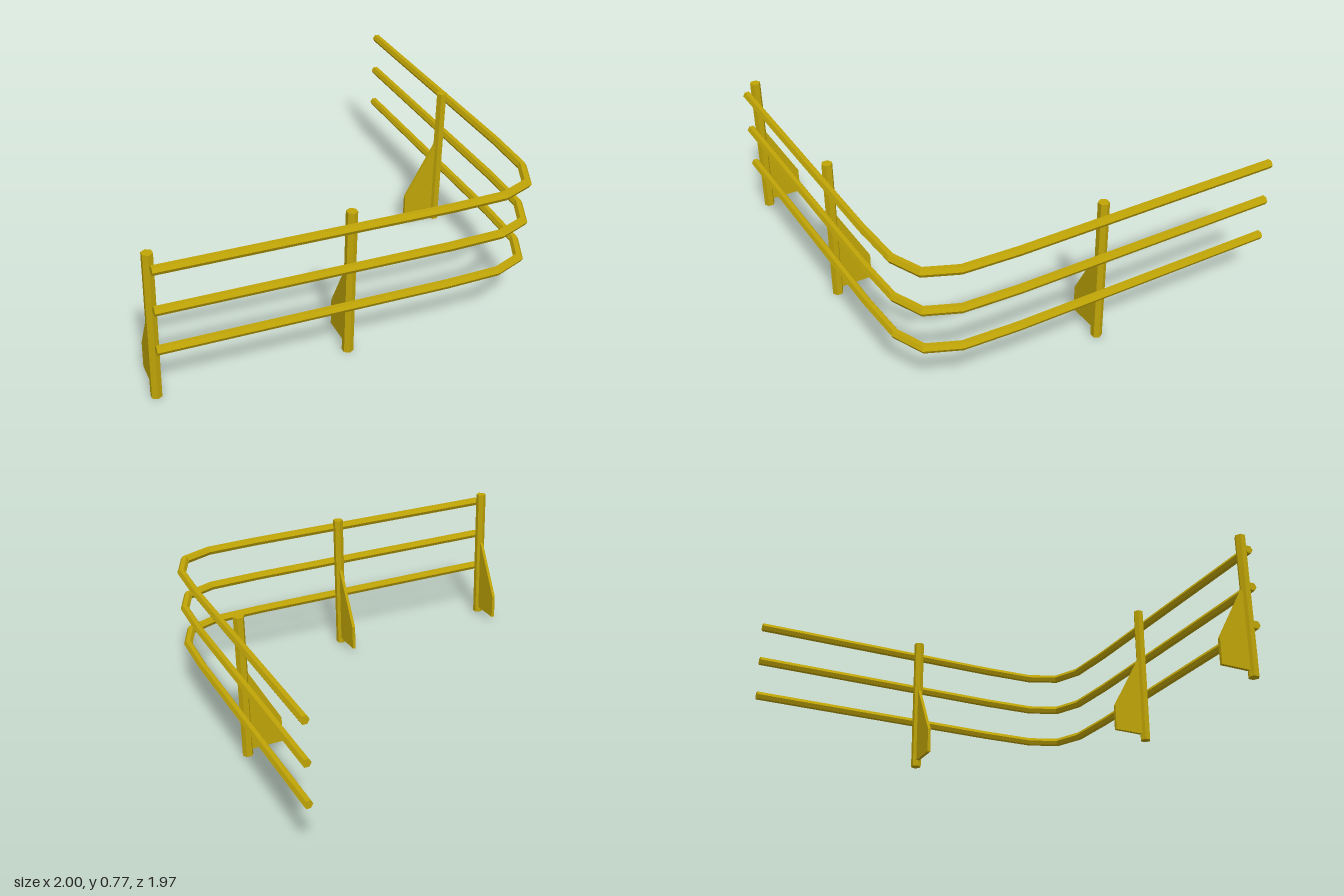
import * as THREE from 'three';

const paint = new THREE.MeshStandardMaterial({ color: 0xbfa406, flatShading: true });
paint.name = 'yellow paint';

// Hexagonal bar swept along a level path of [x, z] points, with mitred joints
function sweepRail(path, r) {
  const pos = [], idx = [], n = path.length;
  const pts = path.map(([x, z]) => new THREE.Vector2(x, z));
  const dirs = pts.slice(1).map((p, i) => p.clone().sub(pts[i]).normalize());
  pts.forEach((p, i) => {
    const d1 = dirs[Math.max(i - 1, 0)], d2 = dirs[Math.min(i, n - 2)];
    const t = d1.clone().add(d2).normalize();
    const stretch = 1 / t.dot(d1);
    for (let k = 0; k < 6; k++) {
      const ang = k * Math.PI / 3;
      const side = Math.cos(ang) * r * stretch;
      pos.push(p.x - t.y * side, Math.sin(ang) * r, p.y + t.x * side);
    }
  });
  for (let i = 0; i < n - 1; i++) {
    for (let k = 0; k < 6; k++) {
      const a = i * 6 + k, b = i * 6 + (k + 1) % 6;
      idx.push(a, a + 6, b, b, a + 6, b + 6);
    }
  }
  // End caps
  const e = (n - 1) * 6;
  for (let k = 1; k < 5; k++) idx.push(0, k, k + 1, e, e + k + 1, e + k);
  const g = new THREE.BufferGeometry();
  g.setAttribute('position', new THREE.Float32BufferAttribute(pos, 3));
  g.setIndex(idx);
  const flat = g.toNonIndexed();
  flat.computeVertexNormals();
  return flat;
}

// Hexagonal post with a tapered bracing plate reaching away from the rails (local -z)
function makePost() {
  const group = new THREE.Group();
  const h = 0.775;
  const post = new THREE.Mesh(new THREE.CylinderGeometry(0.028, 0.028, h, 6), paint);
  post.name = 'post';
  post.position.y = h / 2;
  group.add(post);

  const shape = new THREE.Shape([
    [0.02, 0.032], [0.187, 0.032], [0.187, 0.17], [0.024, 0.47], [0.02, 0.47],
  ].map(([x, y]) => new THREE.Vector2(x, y)));
  const t = 0.017;
  const geo = new THREE.ExtrudeGeometry(shape, { depth: t, bevelEnabled: false });
  geo.translate(0, 0, -t / 2);
  geo.rotateY(Math.PI / 2);
  const plate = new THREE.Mesh(geo, paint);
  plate.name = 'bracePlate';
  group.add(plate);
  return group;
}

export function createModel() {
  const model = new THREE.Group();
  model.name = 'cornerRailing';

  // Three rails turning the corner
  const path = [
    [-0.973, 0.96], [0.46, 0.96], [0.74, 0.948], [0.895, 0.883],
    [0.963, 0.725], [0.976, 0.44], [0.976, -0.985],
  ];
  const railGeo = sweepRail(path, 0.023);
  [0.292, 0.503, 0.714].forEach((y, i) => {
    const rail = new THREE.Mesh(railGeo, paint);
    rail.name = ['lowerRail', 'middleRail', 'topRail'][i];
    rail.position.y = y;
    model.add(rail);
  });

  // Two posts on the front run, one on the side run
  [
    ['endPost', -0.974, 0.909, 0],
    ['frontPost', -0.026, 0.909, 0],
    ['sidePost', 0.92, -0.04, Math.PI / 2],
  ].forEach(([name, x, z, turn]) => {
    const p = makePost();
    p.name = name;
    p.position.set(x, 0, z);
    p.rotation.y = turn;
    model.add(p);
  });
  return model;
}
